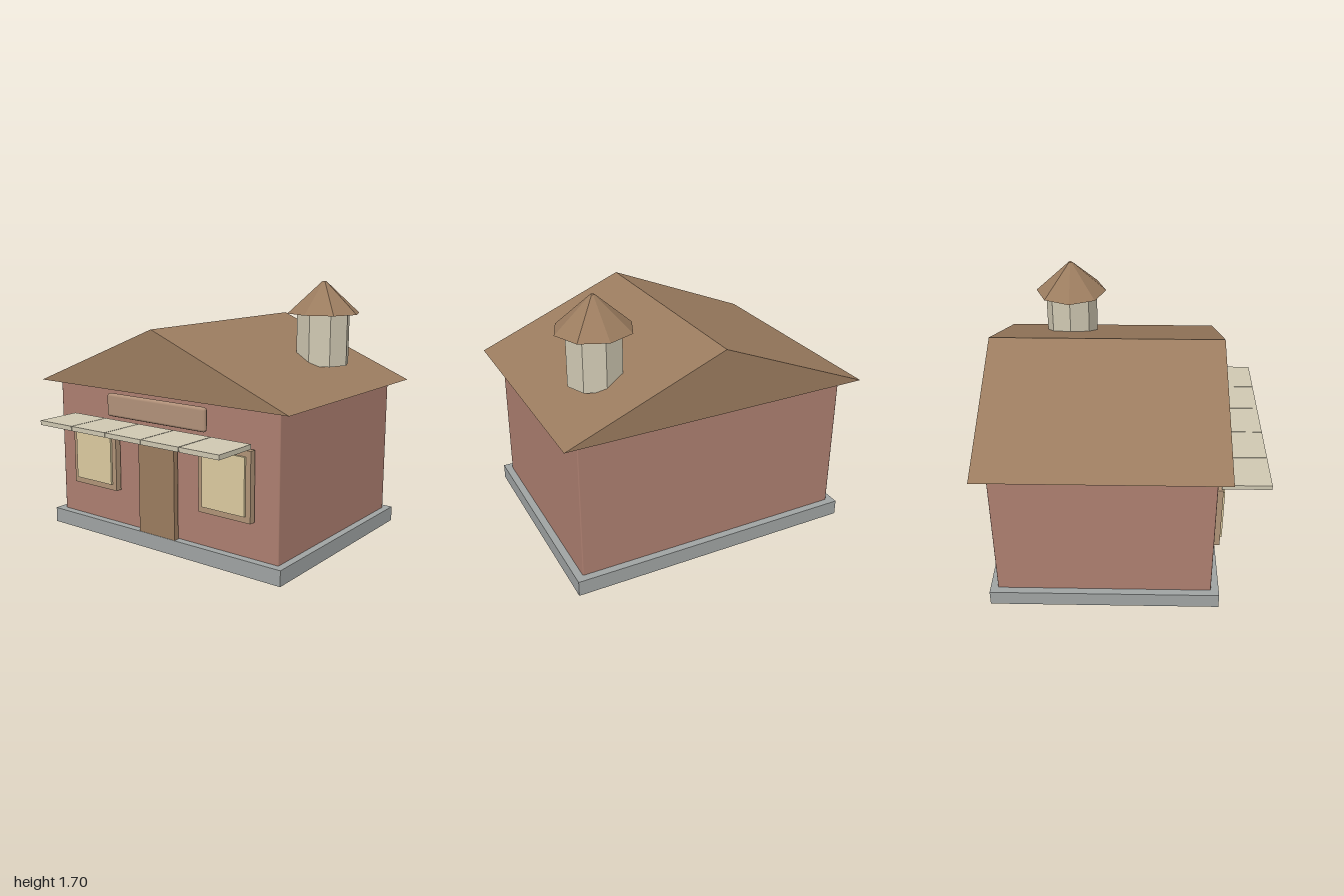
import * as THREE from 'three';
import { RoundedBoxGeometry } from 'three/addons/geometries/RoundedBoxGeometry.js';

const material = (color, flatShading = true) => new THREE.MeshStandardMaterial({ color, flatShading });

const brick = material(0xad7f70, false);
const wood = material(0x9b7c5f);
const signWood = material(0xb2927a, false);
const trim = material(0xb09478);
const stone = material(0xa0a4a3);
const cream = material(0xcfc8b2);
const glass = material(0xdccba0);

export function createModel() {
  const model = new THREE.Group();
  model.name = 'shop';

  const add = (name, geometry, mat, x = 0, y = 0, z = 0) => {
    const mesh = new THREE.Mesh(geometry, mat);
    mesh.name = name;
    mesh.position.set(x, y, z);
    model.add(mesh);
    return mesh;
  };

  // Box given by its extents along each axis
  const box = (name, mat, [x0, x1], [y0, y1], [z0, z1], radius = 0) => {
    const size = [x1 - x0, y1 - y0, z1 - z0];
    const geometry = radius
      ? new RoundedBoxGeometry(...size, 1, radius)
      : new THREE.BoxGeometry(...size);
    return add(name, geometry, mat, (x0 + x1) / 2, (y0 + y1) / 2, (z0 + z1) / 2);
  };

  // Plinth and walls
  box('base', stone, [-0.942, 0.942], [0, 0.1], [-0.861, 0.6]);
  box('walls', brick, [-0.895, 0.895], [0.09, 1.03], [-0.813, 0.549], 0.008);

  // Gabled roof
  const gable = new THREE.Shape([
    new THREE.Vector2(-1, 1.02),
    new THREE.Vector2(1, 1.02),
    new THREE.Vector2(0, 1.43),
  ]);
  add('roof', new THREE.ExtrudeGeometry(gable, { depth: 1.524, bevelEnabled: false }), wood, 0, 0, -0.895);

  // Door
  box('door', wood, [-0.147, 0.147], [0.1, 0.685], [0.559, 0.597]);

  // Windows
  for (const [side, x] of [['left', 0.537], ['right', -0.537]]) {
    box(side + 'WindowFrame', trim, [x - 0.193, x + 0.193], [0.335, 0.775], [0.559, 0.602]);
    box(side + 'WindowPane', glass, [x - 0.158, x + 0.158], [0.375, 0.737], [0.575, 0.616]);
  }

  // Awning slats
  for (let i = -2; i <= 2; i++) {
    const x = i * 0.291;
    box('awningSlat', cream, [x - 0.143, x + 0.143], [0.785, 0.815], [0.592, 0.898]);
  }

  // Blank sign board with softened edges
  box('signBoard', signWood, [-0.402, 0.402], [0.837, 0.991], [0.578, 0.618], 0.0195);

  // Octagonal roof turret
  add('turret', new THREE.CylinderGeometry(0.178, 0.178, 0.335, 8), cream, 0.606, 1.3225, -0.406);
  add('turretRoof', new THREE.CylinderGeometry(0.012, 0.244, 0.21, 8), wood, 0.606, 1.595, -0.406);

  return model;
}
